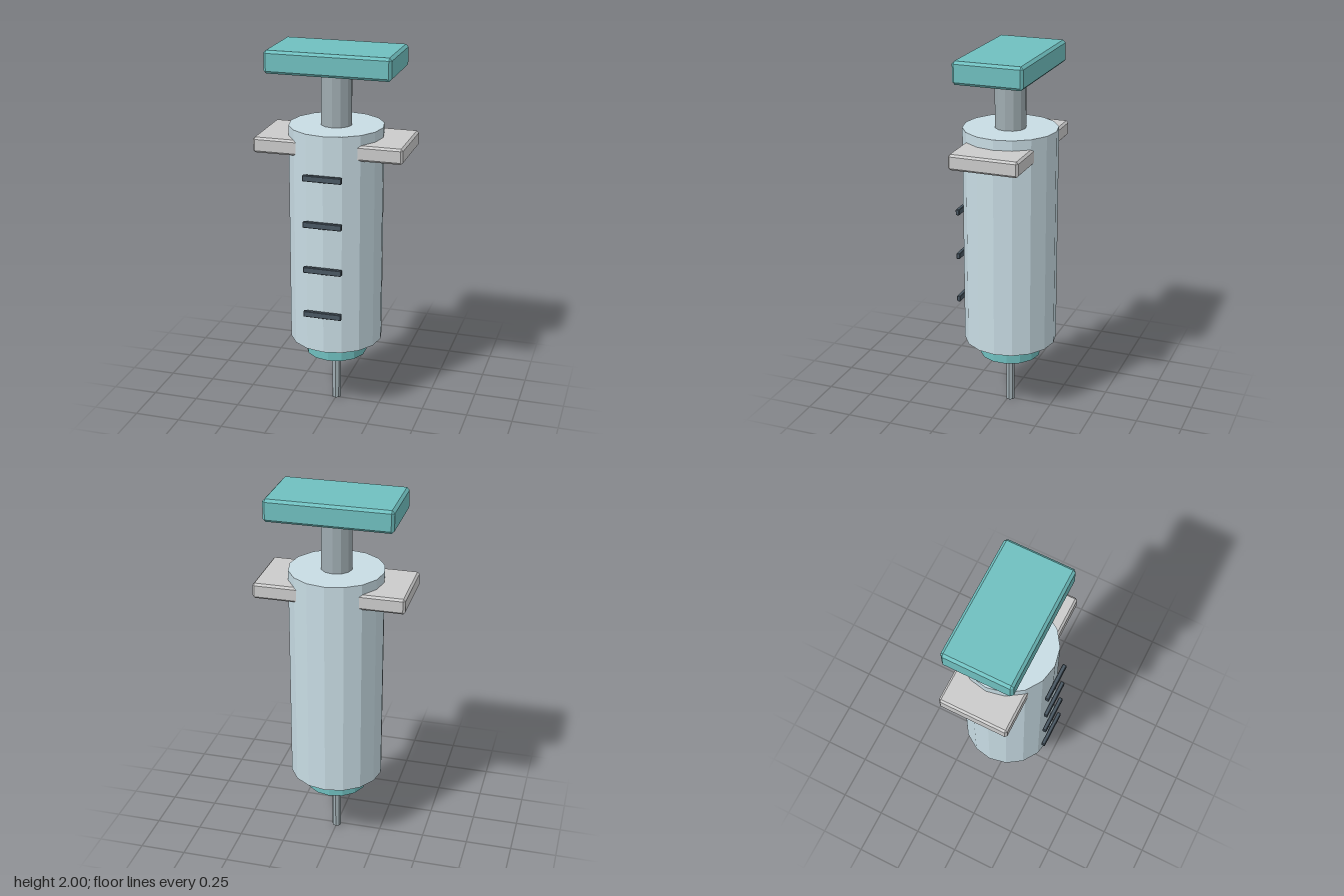
import * as THREE from 'three';
import { ConvexGeometry } from 'three/addons/geometries/ConvexGeometry.js';

const Z = -0.0125; // main axis sits slightly behind centre

const material = (color) => new THREE.MeshStandardMaterial({ color, flatShading: true });

// Box with chamfered edges: three corner points at each of the eight corners
function chamferBox(w, h, d, c) {
  const points = [];
  const half = [w / 2, h / 2, d / 2];
  for (const sx of [-1, 1]) for (const sy of [-1, 1]) for (const sz of [-1, 1]) {
    const s = [sx, sy, sz];
    for (let axis = 0; axis < 3; axis++) {
      points.push(new THREE.Vector3(...half.map((v, i) => s[i] * (i === axis ? v : v - c))));
    }
  }
  return new ConvexGeometry(points);
}

export function createModel() {
  const model = new THREE.Group();
  model.name = 'syringe';

  const teal = material(0x70c0c0);
  const barrelTone = material(0xc8dce4);
  const pale = material(0xd8dcdc);
  const metal = material(0xa0adb2);
  const dark = material(0x4a5863);

  const add = (name, geometry, mat, y, z = Z) => {
    const mesh = new THREE.Mesh(geometry, mat);
    mesh.name = name;
    mesh.position.set(0, y, z);
    model.add(mesh);
  };
  const rod = (name, radius, y0, y1, sides, mat) =>
    add(name, new THREE.CylinderGeometry(radius, radius, y1 - y0, sides), mat, (y0 + y1) / 2);

  // Turned parts, bottom to top
  rod('needle', 0.025, 0, 0.31, 8, metal);
  rod('needleHub', 0.167, 0.30, 0.40, 14, teal);
  rod('barrel', 0.252, 0.392, 1.595, 16, barrelTone);
  rod('plungerRod', 0.083, 1.58, 1.89, 12, metal);

  // Finger grip passing through the barrel, and the thumb pad
  add('fingerGrip', chamferBox(0.8, 0.083, 0.375, 0.011), pale, 1.5);
  add('thumbPad', chamferBox(0.67, 0.12, 0.375, 0.014), teal, 1.94);

  // Dose marks up the front
  for (let i = 0; i < 4; i++) {
    add('doseMark' + (i + 1), chamferBox(0.208, 0.033, 0.021, 0.003), dark, 0.615 + i * 0.2525, 0.252);
  }

  return model;
}
